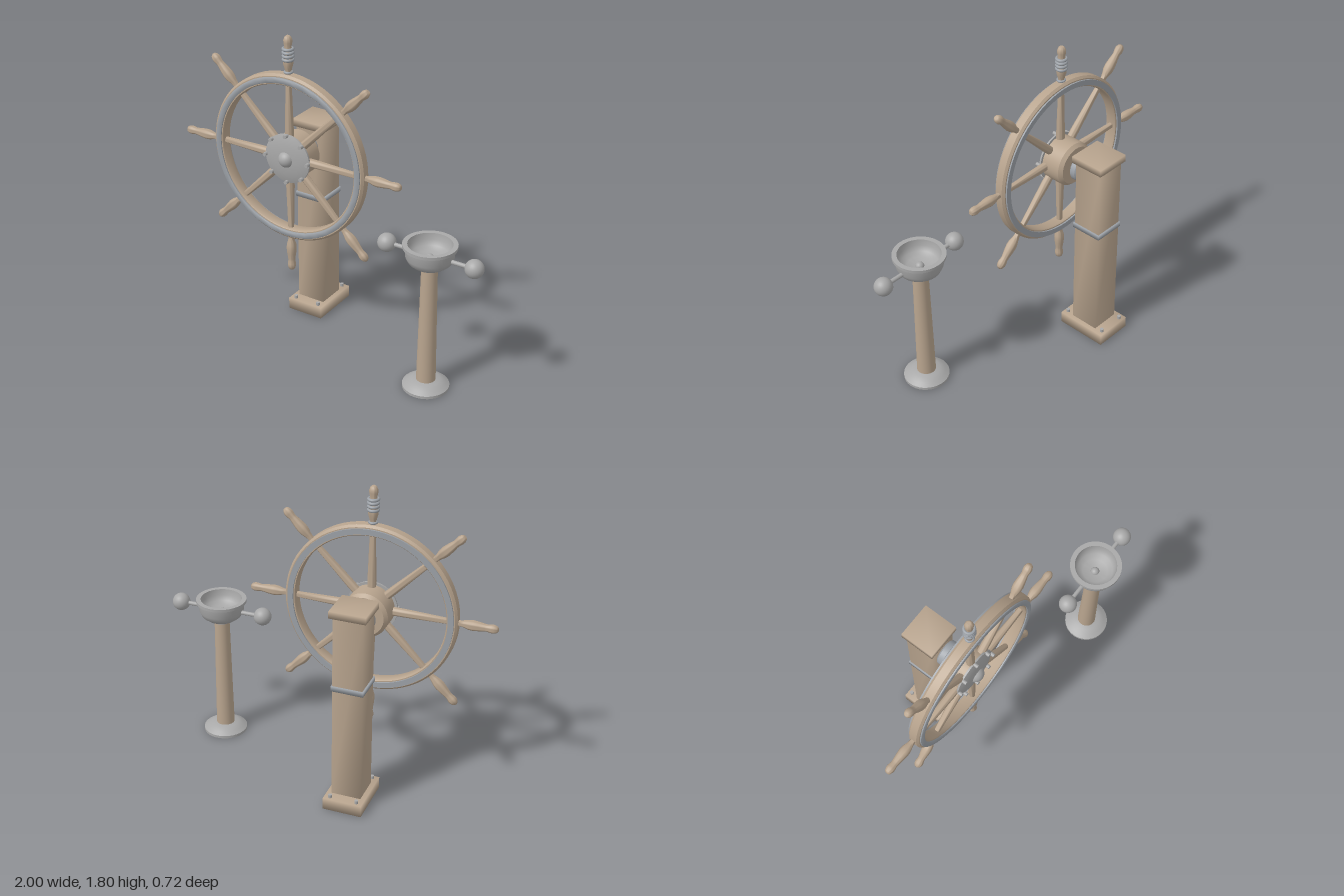
import * as THREE from 'three';
import { mergeVertices, toCreasedNormals } from 'three/addons/utils/BufferGeometryUtils.js';

export function createModel() {
  const model = new THREE.Group();
  const wood = new THREE.MeshStandardMaterial({ name: 'paleWood', color: 0xb8a48e });
  const metal = new THREE.MeshStandardMaterial({ name: 'greyMetal', color: 0xa8a8a8 });
  const steel = new THREE.MeshStandardMaterial({ name: 'blueSteel', color: 0x9ca1a7 });

  function add(parent, name, geo, mat, x = 0, y = 0, z = 0) {
    const mesh = new THREE.Mesh(geo, mat);
    mesh.name = name;
    mesh.position.set(x, y, z);
    parent.add(mesh);
    return mesh;
  }
  // Turned part from [radius, height] pairs, bottom to top
  function turned(points, segments = 40, crease = 0.7) {
    const geo = new THREE.LatheGeometry(points.map(p => new THREE.Vector2(p[0], p[1])), segments);
    return toCreasedNormals(geo, crease);
  }
  const turnedZ = (points, segments, crease) => turned(points, segments, crease).rotateX(Math.PI / 2);
  // Box whose normals are blended over its corners
  function softBox(w, h, d) {
    const geo = new THREE.BoxGeometry(w, h, d);
    geo.deleteAttribute('normal');
    geo.deleteAttribute('uv');
    const merged = mergeVertices(geo);
    merged.computeVertexNormals();
    return merged;
  }
  const ball = (r) => new THREE.SphereGeometry(r, 24, 16);

  // Post with foot, cap and band
  const cx = -0.285, pz = -0.206;
  const pedestal = new THREE.Group();
  pedestal.name = 'pedestal';
  model.add(pedestal);
  add(pedestal, 'pedestalFoot', softBox(0.226, 0.07, 0.31), wood, cx, 0.035, pz);
  add(pedestal, 'pedestalPost', softBox(0.172, 1.12, 0.174), wood, cx, 0.63, pz);
  add(pedestal, 'pedestalCap', softBox(0.208, 0.042, 0.205), wood, cx, 1.2, pz);
  add(pedestal, 'pedestalBand', softBox(0.186, 0.03, 0.188), steel, cx, 0.75, pz);
  for (const sx of [-1, 1]) {
    for (const sz of [-1, 1]) {
      add(pedestal, 'footBolt', new THREE.CylinderGeometry(0.011, 0.011, 0.02, 12),
        metal, cx + sx * 0.078, 0.078, pz + sz * 0.131);
    }
  }
  add(pedestal, 'axleDisc', turnedZ([[0, -0.024], [0.066, -0.024], [0.075, -0.015],
    [0.075, 0.015], [0.066, 0.024], [0, 0.024]]), steel, cx, 1.08, -0.081);

  // Steering wheel, built around its own axis
  const wheel = new THREE.Group();
  wheel.name = 'steeringWheel';
  wheel.position.set(cx, 1.08, 0.075);
  model.add(wheel);
  add(wheel, 'wheelRim', turnedZ([[0.44, -0.034], [0.484, -0.034], [0.496, -0.022], [0.496, 0.022],
    [0.484, 0.034], [0.44, 0.034], [0.435, 0.028], [0.435, -0.028], [0.44, -0.034]], 72), wood);
  for (const side of [-1, 1]) {
    add(wheel, 'rimBand', turnedZ([[0.446, -0.006], [0.478, -0.006], [0.478, 0.003], [0.474, 0.006],
      [0.45, 0.006], [0.446, 0.003], [0.446, -0.006]].map(p => [p[0], p[1]]), 72),
      steel, 0, 0, side * 0.038);
  }

  // Hub: wooden drum, metal dome and knob
  add(wheel, 'hubDrum', turnedZ([[0, -0.12], [0.112, -0.12], [0.13, -0.1], [0.13, 0.018], [0, 0.018]]), wood);
  add(wheel, 'hubDome', turnedZ([[0, 0.016], [0.145, 0.016], [0.145, 0.026], [0.125, 0.033],
    [0.09, 0.041], [0.05, 0.046], [0, 0.048]]), metal);
  add(wheel, 'hubKnob', ball(0.048), metal, 0, 0, 0.03);

  // Turned spokes with handles, and a bolt at each spoke root
  const spokeProfile = [[0, 0.06], [0.024, 0.06], [0.024, 0.18], [0.017, 0.43], [0.016, 0.505],
    [0.02, 0.525], [0.027, 0.55], [0.029, 0.575], [0.026, 0.605], [0.021, 0.64], [0.02, 0.655],
    [0.024, 0.675], [0.024, 0.69], [0.018, 0.706], [0.009, 0.714], [0, 0.716]];
  const spokeGeo = turned(spokeProfile, 20, 1.2);
  for (let i = 0; i < 8; i++) {
    const a = i * Math.PI / 4;
    add(wheel, 'spoke', spokeGeo, wood).rotation.z = a;
    const bolt = new THREE.CylinderGeometry(0.011, 0.011, 0.03, 12).rotateX(Math.PI / 2);
    add(wheel, 'hubBolt', bolt, metal, -Math.sin(a) * 0.139, Math.cos(a) * 0.139, 0.035);
  }

  // Rings wound on the top handle, with a collar at its root
  for (const y of [0.578, 0.598, 0.618, 0.638]) {
    add(wheel, 'gripRing', new THREE.TorusGeometry(0.026, 0.009, 10, 28).rotateX(Math.PI / 2), steel, 0, y, 0);
  }
  add(wheel, 'handleCollar', new THREE.TorusGeometry(0.02, 0.007, 10, 28).rotateX(Math.PI / 2), steel, 0, 0.506, 0);

  // Compass stand
  const stand = new THREE.Group();
  stand.name = 'compassStand';
  stand.position.set(0.687, 0, 0.21);
  model.add(stand);
  add(stand, 'standFoot', turned([[0, 0], [0.13, 0], [0.13, 0.016], [0.108, 0.032],
    [0.078, 0.05], [0, 0.05]]), metal);
  add(stand, 'standColumn', new THREE.CylinderGeometry(0.044, 0.054, 0.7, 32), wood, 0, 0.395, 0);
  add(stand, 'columnCollar', new THREE.CylinderGeometry(0.049, 0.049, 0.018, 32), steel, 0, 0.748, 0);

  // Hollow bowl with a lip and a centre pin
  add(stand, 'compassBowl', turned([[0, 0.755], [0.055, 0.755], [0.09, 0.764], [0.116, 0.785],
    [0.13, 0.815], [0.134, 0.865], [0.147, 0.869], [0.147, 0.886], [0.12, 0.886], [0.116, 0.85],
    [0.1, 0.822], [0.07, 0.806], [0, 0.8]], 48), metal);
  add(stand, 'centrePin', ball(0.025), metal, 0, 0.8, 0);

  // Balls on side rods
  for (const side of [-1, 1]) {
    add(stand, 'sideRod', new THREE.CylinderGeometry(0.012, 0.012, 0.12, 16).rotateZ(Math.PI / 2),
      metal, side * 0.175, 0.818, 0);
    add(stand, 'sideBall', ball(0.052), metal, side * 0.261, 0.818, 0);
  }
  return model;
}
